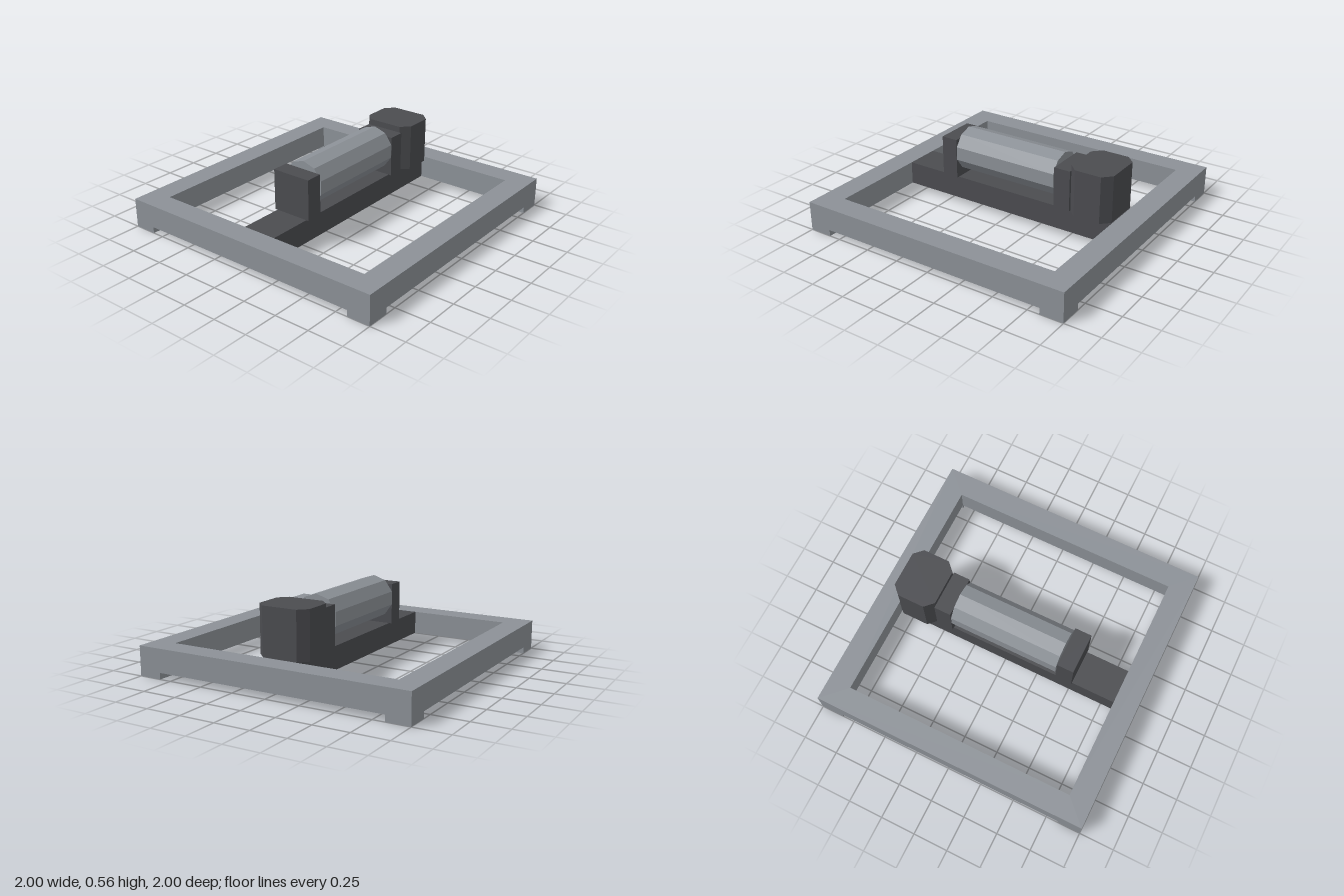
import * as THREE from 'three';

const light = new THREE.MeshStandardMaterial({ color: 0x8c9197, flatShading: true });
const dark = new THREE.MeshStandardMaterial({ color: 0x4b4c50, flatShading: true });

const OUTER = 1, INNER = 0.835;     // frame half sizes
const FOOT = 0.045, DECK = 0.21;    // underside and top of the frame

export function createModel() {
  const model = new THREE.Group();

  const add = (name, geometry, material, x = 0, y = 0, z = 0) => {
    const mesh = new THREE.Mesh(geometry, material);
    mesh.name = name;
    mesh.position.set(x, y, z);
    model.add(mesh);
    return mesh;
  };

  // Extrudes an outline drawn in x and z upwards from y = 0
  const extrudeUp = (shape, height) =>
    new THREE.ExtrudeGeometry(shape, { depth: height, bevelEnabled: false }).rotateX(-Math.PI / 2);

  const outline = (points) => points.map(([x, z]) => new THREE.Vector2(x, z));
  const square = (s) => outline([[-s, -s], [s, -s], [s, s], [-s, s]]);

  // Square base frame with a large opening
  const frameShape = new THREE.Shape(square(OUTER));
  frameShape.holes.push(new THREE.Path(square(INNER).reverse()));
  add('baseFrame', extrudeUp(frameShape, DECK - FOOT), light, 0, FOOT, 0);

  // Feet under the four corners
  const footSize = OUTER - INNER, footCentre = (OUTER + INNER) / 2;
  for (const sx of [-1, 1]) {
    for (const sz of [-1, 1]) {
      add('foot', new THREE.BoxGeometry(footSize, FOOT, footSize), light,
        sx * footCentre, FOOT / 2, sz * footCentre);
    }
  }

  // Beam across the middle of the frame
  add('crossBeam', new THREE.BoxGeometry(2 * INNER, DECK - FOOT, 0.25), dark,
    0, (DECK + FOOT) / 2, 0);

  // Bearing blocks at both ends of the drum
  for (const side of [-1, 1]) {
    add('bearingBlock', new THREE.BoxGeometry(0.12, 0.29, 0.29), dark, side * 0.46, DECK + 0.145, 0);
  }

  // Ten-sided drum lying along x, one edge on top
  const drum = new THREE.CylinderGeometry(0.155, 0.155, 0.79, 10)
    .rotateY(Math.PI / 2).rotateZ(Math.PI / 2);
  add('drum', drum, light, 0, 0.4, 0);

  // Motor housing with cut corners
  const hx = 0.155, hz = 0.187, cut = 0.06;
  const housing = new THREE.Shape(outline([
    [-hx + cut, -hz], [hx - cut, -hz], [hx, -hz + cut], [hx, hz - cut],
    [hx - cut, hz], [-hx + cut, hz], [-hx, hz - cut], [-hx, -hz + cut],
  ]));
  add('motorHousing', extrudeUp(housing, 0.333), dark, 0.675, DECK, 0);

  return model;
}
